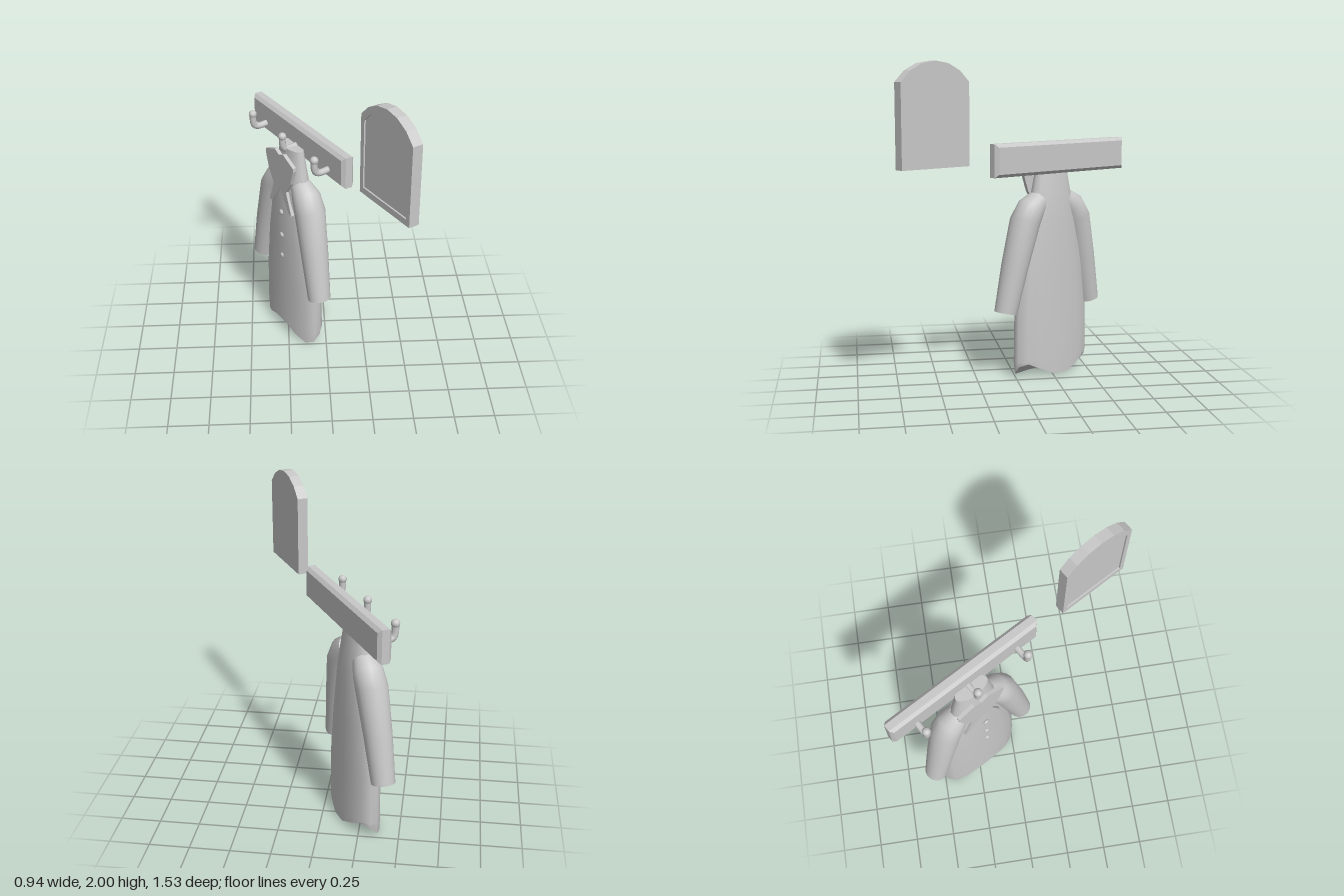
import * as THREE from 'three';

const grey = new THREE.MeshStandardMaterial({ color: 0xc8c8c8 });
grey.name = 'plain grey';

function add(parent, name, geometry, x = 0, y = 0, z = 0) {
  const mesh = new THREE.Mesh(geometry, grey);
  mesh.name = name;
  mesh.position.set(x, y, z);
  parent.add(mesh);
  return mesh;
}

// Capped loft of elliptical rings, listed from bottom to top as [x, y, z, rx, rz].
// Each ring is square to the path; firstY optionally sets the heights of the first ring.
function loft(sections, sides, firstY) {
  const pos = [], index = [], rings = [];
  sections.forEach(([x, y, z, rx, rz], i) => {
    const p = sections[Math.max(i - 1, 0)], q = sections[Math.min(i + 1, sections.length - 1)];
    const len = Math.hypot(q[0] - p[0], q[1] - p[1]);
    const ex = (q[1] - p[1]) / len, ey = -(q[0] - p[0]) / len;
    const ring = [];
    for (let j = 0; j < sides; j++) {
      const a = (j + 0.5) / sides * Math.PI * 2, c = Math.cos(a) * rx;
      const py = i === 0 && firstY ? firstY(a) : y + ey * c;
      ring.push([x + ex * c, py, z + Math.sin(a) * rz]);
    }
    rings.push(ring);
    pos.push(...ring.flat());
  });
  for (let i = 0; i < sections.length - 1; i++) {
    for (let j = 0; j < sides; j++) {
      const k = (j + 1) % sides, a = i * sides + j, b = i * sides + k;
      index.push(a, a + sides, b, b, a + sides, b + sides);
    }
  }
  [rings[0], rings[rings.length - 1]].forEach((ring, top) => {
    const start = pos.length / 3;
    pos.push(...ring.flat());
    pos.push(...[0, 1, 2].map(n => ring.reduce((s, p) => s + p[n], 0) / sides));
    for (let j = 0; j < sides; j++) {
      const a = start + j, b = start + (j + 1) % sides;
      index.push(start + sides, top ? b : a, top ? a : b);
    }
  });
  const g = new THREE.BufferGeometry();
  g.setAttribute('position', new THREE.Float32BufferAttribute(pos, 3));
  g.setIndex(index);
  g.computeVertexNormals();
  return g;
}

// Upright panel outline with a faceted arched top
function archPoints(half, bottom, radius) {
  const spread = Math.asin(half / radius), pts = [];
  pts.push(new THREE.Vector2(-half, bottom), new THREE.Vector2(half, bottom));
  for (let i = 0; i <= 6; i++) {
    const a = spread * (1 - i / 3);
    pts.push(new THREE.Vector2(Math.sin(a) * radius, 1.708 + Math.cos(a) * radius));
  }
  return pts;
}

const extrude = (shape, depth) => new THREE.ExtrudeGeometry(shape, { depth, bevelEnabled: false });

export function createModel() {
  const model = new THREE.Group();
  model.name = 'coatRackWithMirror';
  // Everything lies along a wall turned 60 degrees
  const wall = new THREE.Group();
  wall.name = 'wallSet';
  wall.rotation.y = -Math.PI / 3;
  model.add(wall);

  // Bevelled backboard
  const w = 0.515, h = 0.082;
  const rect = new THREE.Shape([[-w, -h], [w, -h], [w, h], [-w, h]].map(p => new THREE.Vector2(...p)));
  add(wall, 'backboard', new THREE.ExtrudeGeometry(rect, {
    depth: 0.045, bevelEnabled: true, bevelSegments: 1, bevelSize: 0.02, bevelThickness: 0.02,
  }), -0.325, 1.405, -0.045);

  // Hooks: bent pegs with round tips
  const path = new THREE.CatmullRomCurve3([[0, 1.367, 0.01], [0, 1.362, 0.08], [0, 1.372, 0.105],
    [0, 1.395, 0.115], [0, 1.455, 0.117]].map(p => new THREE.Vector3(...p)));
  for (const x of [-0.69, -0.32, 0.048]) {
    const hook = new THREE.Group();
    hook.name = 'hook';
    hook.position.x = x;
    wall.add(hook);
    add(hook, 'hookPeg', new THREE.TubeGeometry(path, 14, 0.021, 12));
    add(hook, 'hookTip', new THREE.SphereGeometry(0.026, 14, 10), 0, 1.454, 0.117);
  }

  // Arched mirror: back panel and raised rim
  const outer = archPoints(0.236, 1.387, 0.292);
  add(wall, 'mirrorPanel', extrude(new THREE.Shape(outer), 0.055), 0.628, 0, -0.04);
  const rim = new THREE.Shape(outer);
  rim.holes.push(new THREE.Path(archPoints(0.206, 1.427, 0.25)));
  add(wall, 'mirrorRim', extrude(rim, 0.01), 0.628, 0, 0.015);

  // Hanging coat
  const coat = new THREE.Group();
  coat.name = 'coat';
  coat.position.set(-0.32, 0, 0.05);
  wall.add(coat);

  // Body with a wavy hem
  add(coat, 'coatBody', loft([
    [0, 0, 0, 0.285, 0.113], [0, 0.1, 0, 0.295, 0.113], [0, 0.4, 0, 0.29, 0.108],
    [0, 0.7, 0, 0.255, 0.1], [0, 1.0, 0, 0.2, 0.094], [0, 1.19, 0, 0.152, 0.077],
    [0, 1.375, 0, 0.115, 0.05],
  ], 16, a => 0.042 - 0.045 * Math.sin(3 * a)));

  // Sleeves, from cuff to shoulder
  for (const s of [-1, 1]) {
    add(coat, s > 0 ? 'leftSleeve' : 'rightSleeve', loft([
      [s * 0.352, 0.425, 0.025, 0.073, 0.073], [s * 0.285, 0.72, 0.015, 0.087, 0.087],
      [s * 0.212, 1.0, 0.003, 0.098, 0.098], [s * 0.165, 1.08, 0, 0.09, 0.092],
      [s * 0.1, 1.135, 0, 0.066, 0.068],
    ], 20));
  }

  // Buttons
  for (const y of [0.93, 0.757, 0.6]) {
    add(coat, 'button', new THREE.SphereGeometry(0.019, 14, 10), 0.02, y, 0.1).scale.z = 0.6;
  }

  // Scarf: two mirrored halves, each with a tail
  const half = [[0, 1.335], [0.05, 1.355], [0.165, 1.31], [0.165, 1.285], [0.13, 1.18],
    [0.075, 1.1], [0.135, 0.955], [0.1, 0.96], [0, 1.095]];
  for (const s of [-1, 1]) {
    const shape = new THREE.Shape(half.map(([x, y]) => new THREE.Vector2(s * x, y)));
    add(coat, 'scarfHalf', extrude(shape, 0.024), 0, 0, 0.07);
  }
  return model;
}
